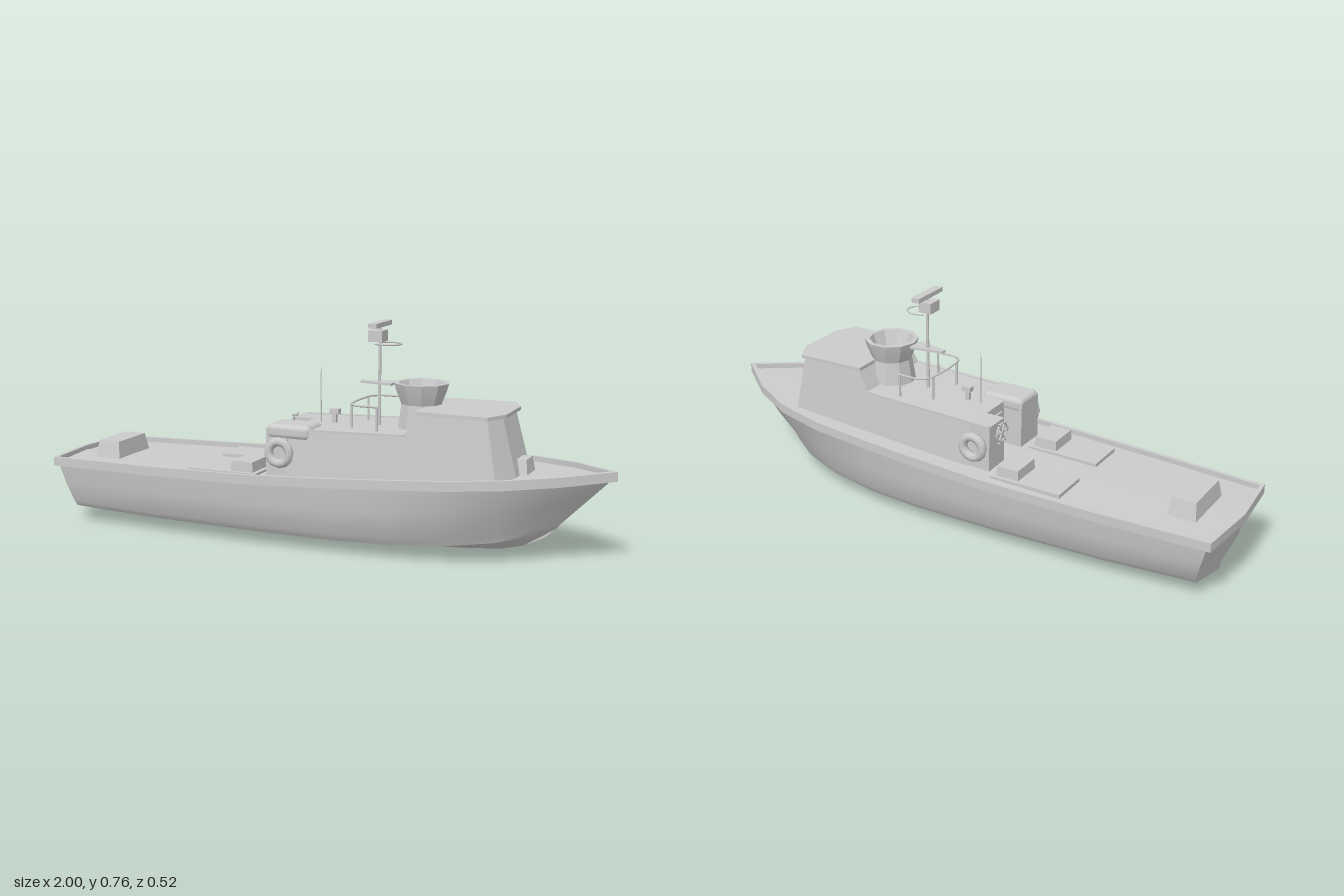
import * as THREE from 'three';
import { toCreasedNormals } from 'three/addons/utils/BufferGeometryUtils.js';
import { RoundedBoxGeometry } from 'three/addons/geometries/RoundedBoxGeometry.js';

const grey = new THREE.MeshStandardMaterial({ color: 0xcccccc, side: THREE.DoubleSide });

function add(group, name, geo, x = 0, y = 0, z = 0) {
  const mesh = new THREE.Mesh(geo, grey);
  mesh.name = name;
  mesh.position.set(x, y, z);
  group.add(mesh);
  return mesh;
}

// Skin a list of equal-length cross-sections
function loft(rows, { ring = false, loop = false, crease = 0.5 } = {}) {
  const n = rows[0].length, idx = [];
  const rMax = loop ? rows.length : rows.length - 1, cMax = ring ? n : n - 1;
  for (let r = 0; r < rMax; r++) for (let c = 0; c < cMax; c++) {
    const a = r * n + c, b = r * n + (c + 1) % n;
    const r2 = ((r + 1) % rows.length) * n, d = r2 + c, e = r2 + (c + 1) % n;
    idx.push(a, b, d, b, e, d);
  }
  const g = new THREE.BufferGeometry();
  g.setAttribute('position', new THREE.Float32BufferAttribute(rows.flat(2), 3));
  g.setIndex(idx);
  return toCreasedNormals(g, crease);
}

// Box whose top is narrower than its base
function taperedBox(w, h, d, sx, sz) {
  const g = new THREE.BoxGeometry(w, h, d), p = g.attributes.position;
  for (let i = 0; i < p.count; i++) if (p.getY(i) > 0) p.setXYZ(i, p.getX(i) * sx, h / 2, p.getZ(i) * sz);
  g.computeVertexNormals();
  return g;
}

function tube(points, r, steps = 24) {
  const curve = new THREE.CatmullRomCurve3(points.map(p => new THREE.Vector3(...p)), false, 'catmullrom', 0.3);
  return new THREE.TubeGeometry(curve, steps, r, 6);
}

// Flat plate from an x,z outline, y0 at its underside
function plate(outline, t) {
  const s = new THREE.Shape(outline.map(([x, z]) => new THREE.Vector2(x, -z)));
  return new THREE.ExtrudeGeometry(s, { depth: t, bevelEnabled: false }).rotateX(-Math.PI / 2);
}

const mirrorZ = pts => [...pts, ...pts.slice().reverse().map(([x, z]) => [x, -z])];

function buildHull(g) {
  // sheer x,y,z | chine x,y,z | keel x,y
  const stations = [
    [-0.965, 0.215, 0.215, -0.925, 0.075, 0.185, -0.915, 0.02],
    [-0.6, 0.22, 0.237, -0.6, 0.07, 0.21, -0.6, 0.012],
    [-0.2, 0.226, 0.252, -0.2, 0.07, 0.225, -0.2, 0.004],
    [0.1, 0.238, 0.252, 0.1, 0.07, 0.225, 0.1, 0],
    [0.3, 0.25, 0.249, 0.3, 0.075, 0.215, 0.3, 0.002],
    [0.5, 0.262, 0.24, 0.49, 0.085, 0.182, 0.48, 0.008],
    [0.68, 0.273, 0.202, 0.64, 0.1, 0.13, 0.62, 0.02],
    [0.83, 0.28, 0.125, 0.74, 0.115, 0.07, 0.7, 0.04],
    [0.98, 0.285, 0, 0.82, 0.125, 0, 0.77, 0.075],
  ];
  const half = ([xs, ys, zs, xc, yc, zc, xk, yk]) => [
    [xs, ys, zs],
    [(xs + xc) / 2, (ys + yc) / 2, (zs + zc) / 2 + 0.004 * Math.sign(zs)],
    [xc, yc, zc],
    [xc + (xk - xc) * 0.3, yc + (yk - yc) * 0.36, zc * 0.92],
    [xk, yk, 0],
  ];
  const flip = pts => pts.map(([x, y, z]) => [x, y, -z]);
  add(g, 'hull', loft(stations.map(s => {
    const h = half(s);
    return [...h, ...flip(h.slice(0, 4)).reverse()];
  }), { crease: 0.6 }));
  const edge = half(stations[0]);
  add(g, 'transom', loft([edge, edge.map(([x, y]) => [x - 0.015, y, 0]), flip(edge)]));
}

function buildDeck(g) {
  // x, half width, rail top height
  const sheer = [
    [-0.98, 0.225, 0.24], [-0.6, 0.246, 0.244], [-0.2, 0.26, 0.251], [0.1, 0.26, 0.265], [0.3, 0.257, 0.277],
    [0.5, 0.248, 0.289], [0.68, 0.212, 0.3], [0.84, 0.13, 0.308],
  ];
  const side = s => sheer.map(([x, w, y]) => [x, y, s * w]);
  const loop = [[-1, 0.24, 0], ...side(1), [1, 0.315, 0], ...side(-1).reverse()];
  const n = loop.length;
  // Mitred inward offset of the outline
  const inset = (i, d) => {
    const p = loop[i], a = loop[(i + n - 1) % n], b = loop[(i + 1) % n];
    const u = new THREE.Vector2(p[0] - a[0], p[2] - a[2]).normalize();
    const v = new THREE.Vector2(b[0] - p[0], b[2] - p[2]).normalize();
    const m = new THREE.Vector2(u.y + v.y, -u.x - v.x).normalize();
    const k = d / Math.max(0.4, m.x * u.y - m.y * u.x);
    return [p[0] + m.x * k, p[2] + m.y * k];
  };
  add(g, 'gunwale', loft(loop.map((p, i) => {
    const [x, z] = inset(i, 0.014);
    return [[p[0], p[1] - 0.032, p[2]], p, [x, p[1], z], [x, p[1] - 0.032, z]];
  }), { ring: true, loop: true }));
  const deckRows = [];
  for (let i = 0; i <= n / 2; i++) {
    const [x, z] = inset(i, 0.01), y = loop[i][1] - 0.018;
    deckRows.push([[x, y, z], [x, y + 0.003, 0], [x, y, -z]]);
  }
  add(g, 'deck', loft(deckRows));
}

function buildCabin(g) {
  const width = y => 0.17 - (y - 0.27) * 0.085;
  // base x, top x, top height, width scale
  const rows = [
    [-0.085, -0.085, 0.397, 1], [0.335, 0.335, 0.41, 1], [0.355, 0.375, 0.478, 1],
    [0.655, 0.61, 0.482, 0.98], [0.705, 0.64, 0.482, 0.5], [0.705, 0.64, 0.482, 0],
  ].map(([xb, xt, y, k]) => {
    const b = width(0.23) * k, t = width(y) * k;
    return [[xb, 0.23, b], [xt, y, t], [xt, y, -t], [xb, 0.23, -b]];
  });
  add(g, 'cabin', loft(rows, { crease: 0.2 }));
  add(g, 'cabinAftWall', new THREE.BoxGeometry(0.01, 0.165, 0.31), -0.085, 0.3125, 0);
  add(g, 'cabinDoor', new THREE.BoxGeometry(0.008, 0.13, 0.08), -0.093, 0.3, -0.01);
  // Side lockers flanking the doorway
  for (const [z, w] of [[0.107, 0.118], [-0.115, 0.1]])
    add(g, 'sideLocker', taperedBox(0.08, 0.168, w, 1, 0.95), -0.12, 0.313, z);
  add(g, 'lockerHatch', new RoundedBoxGeometry(0.16, 0.05, 0.12, 3, 0.018), -0.08, 0.388, 0.108);
  const roof = mirrorZ([[0.37, 0.153], [0.615, 0.163], [0.655, 0.085]]);
  add(g, 'cabinRoof', plate(roof, 0.012), 0, 0.477, 0);
  for (const s of [-1, 1]) {
    const trim = add(g, 'cabinTrim', new THREE.BoxGeometry(0.49, 0.007, 0.012), 0.09, 0.402, s * 0.158);
    trim.rotation.z = 0.027;
    // Life rings on the cabin sides
    add(g, 'lifeRing', new THREE.TorusGeometry(0.038, 0.016, 8, 12), -0.105, 0.32, s * 0.18);
  }
  // Helm on the aft face
  const helm = new THREE.Group();
  helm.name = 'helm';
  add(helm, 'wheelRim', new THREE.TorusGeometry(0.032, 0.004, 6, 16));
  for (let i = 0; i < 3; i++)
    add(helm, 'wheelSpoke', new THREE.BoxGeometry(0.084, 0.005, 0.005)).rotation.z = i * Math.PI / 3;
  helm.rotation.y = Math.PI / 2;
  helm.position.set(-0.178, 0.365, -0.112);
  g.add(helm);
  add(g, 'helmShaft', new THREE.CylinderGeometry(0.007, 0.007, 0.03, 8).rotateZ(Math.PI / 2), -0.168, 0.365, -0.112);
}

function buildTub(g) {
  const profile = [[0.083, 0.4], [0.07, 0.49], [0.088, 0.535], [0.095, 0.56], [0.078, 0.56], [0.07, 0.535], [0.058, 0.505], [0, 0.505]];
  const geo = new THREE.LatheGeometry(profile.map(p => new THREE.Vector2(...p)), 10).rotateY(Math.PI / 10);
  add(g, 'lookoutTub', toCreasedNormals(geo, 0.3), 0.335, 0, -0.007);
}

function buildMast(g) {
  const x = 0.185, z = -0.005;
  add(g, 'mast', new THREE.CylinderGeometry(0.005, 0.006, 0.335, 8), x, 0.573, z);
  add(g, 'radarBar', new THREE.BoxGeometry(0.03, 0.016, 0.145), x, 0.748, z);
  add(g, 'radarHousing', new THREE.BoxGeometry(0.05, 0.038, 0.054), 0.178, 0.709, z);
  add(g, 'mastBracket', tube([[0.18, 0.684, -0.035], [0.225, 0.684, -0.045], [0.258, 0.684, -0.02],
    [0.258, 0.684, 0.015], [0.225, 0.684, 0.035], [0.18, 0.684, 0.028]], 0.003));
  add(g, 'mastArm', plate([[0.12, -0.012], [0.24, -0.035], [0.24, 0.03], [0.12, 0.006]], 0.008), 0, 0.547, 0);
  // Guard rail behind the tub
  add(g, 'guardRail', tube([[0.225, 0.487, -0.125], [0.15, 0.487, -0.122], [0.118, 0.487, -0.095], [0.11, 0.487, 0],
    [0.118, 0.487, 0.085], [0.15, 0.487, 0.112], [0.225, 0.487, 0.115]], 0.004, 40));
  for (const [px, pz] of [[0.222, -0.125], [0.115, -0.08], [0.115, 0.07], [0.222, 0.115]])
    add(g, 'railPost', new THREE.CylinderGeometry(0.004, 0.004, 0.085, 6), px, 0.445, pz);
  add(g, 'whipAntenna', new THREE.CylinderGeometry(0.001, 0.003, 0.19, 6), -0.033, 0.492, -0.01);
  add(g, 'lampPost', new THREE.BoxGeometry(0.015, 0.05, 0.015), 0.018, 0.42, -0.01);
  add(g, 'lamp', new THREE.BoxGeometry(0.034, 0.018, 0.024), 0.02, 0.44, -0.01);
}

function buildDeckGear(g) {
  add(g, 'sternLocker', taperedBox(0.1, 0.065, 0.21, 0.82, 0.86), -0.83, 0.253, 0);
  add(g, 'bowLocker', taperedBox(0.055, 0.055, 0.1, 0.7, 0.75), 0.69, 0.307, -0.007);
  for (const s of [-1, 1]) {
    add(g, 'deckHatch', new THREE.BoxGeometry(0.26, 0.022, 0.14), -0.315, 0.232, s * 0.13);
    add(g, 'deckBox', taperedBox(0.085, 0.05, 0.115, 0.93, 0.95), -0.243, 0.253, s * 0.13);
  }
}

export function createModel() {
  const boat = new THREE.Group();
  boat.name = 'patrolBoat';
  for (const build of [buildHull, buildDeck, buildCabin, buildTub, buildMast, buildDeckGear]) build(boat);
  return boat;
}
